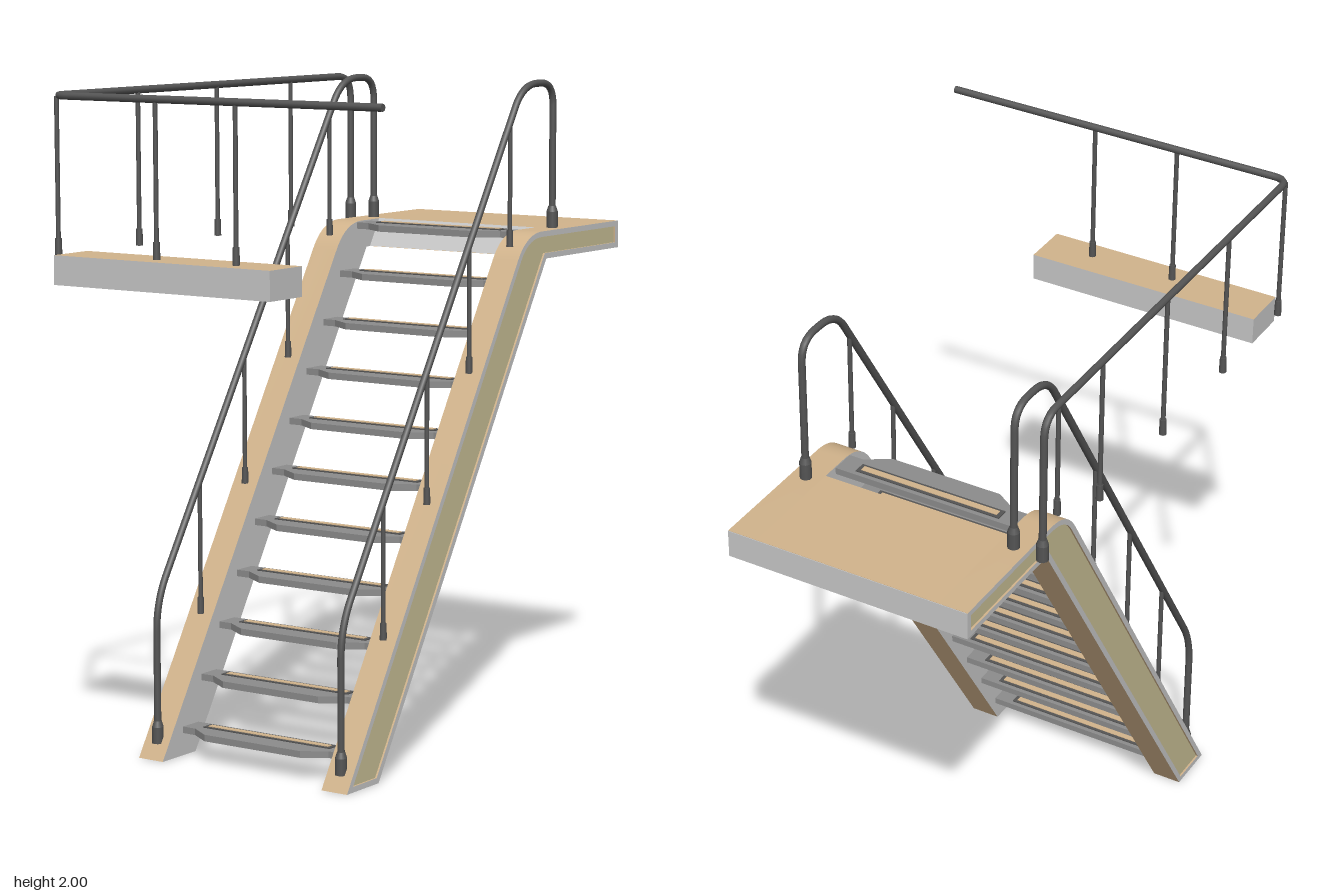
import * as THREE from 'three';
import { toCreasedNormals } from 'three/addons/utils/BufferGeometryUtils.js';

const mat = (name, color, side = THREE.FrontSide) => {
  const m = new THREE.MeshStandardMaterial({ color, side });
  m.name = name;
  return m;
};

const V = (x, y, z) => new THREE.Vector3(x, y, z);

// Polyline with rounded corners; each point is [x, y, z, cornerRadius]
function roundedPath(pts) {
  const path = new THREE.CurvePath();
  let prev = V(...pts[0].slice(0, 3));
  for (let i = 1; i < pts.length; i++) {
    const p = V(...pts[i].slice(0, 3));
    const r = pts[i][3] || 0;
    if (!r) {
      path.add(new THREE.LineCurve3(prev, p));
      prev = p;
      continue;
    }
    const next = V(...pts[i + 1].slice(0, 3));
    const a = p.clone().add(prev.clone().sub(p).setLength(r));
    const b = p.clone().add(next.sub(p).setLength(r));
    path.add(new THREE.LineCurve3(prev, a));
    path.add(new THREE.QuadraticBezierCurve3(a, p, b));
    prev = b;
  }
  return path;
}

// Side outline of a stringer (shape x = world z), inset by d
function stringerShape(d, Kind = THREE.Shape) {
  const k = d * 1.18;
  const front = y => 0.57 - 0.62 * y - k;
  const back = y => 0.41 - 0.625 * y + k;
  const top = 1.54 - d, under = 1.455 + d, end = -0.93 + d;
  const s = new Kind();
  s.moveTo(back(d), d);
  s.lineTo(front(d), d);
  s.lineTo(front(1.46), 1.46);
  s.quadraticCurveTo(front(top), top, -0.475, top);
  s.lineTo(end, top);
  s.lineTo(end, under);
  s.lineTo(back(under), under);
  s.closePath();
  return s;
}

// Extrude a side outline across x, from x0 to x0 + width
function extrudeAcross(shape, x0, width) {
  const g = new THREE.ExtrudeGeometry(shape, { depth: width, bevelEnabled: false, curveSegments: 12 });
  g.rotateY(-Math.PI / 2);
  g.translate(x0 + width, 0, 0);
  return toCreasedNormals(g, 0.5);
}

export function createModel() {
  const model = new THREE.Group();
  model.name = 'staircase';
  const tan = mat('tan deck', 0xd2b48c);
  const grey = mat('light grey', 0xc8c8c8);
  const khaki = mat('khaki panel', 0xc9c096);
  const steel = mat('tread grey', 0x8c8c8c);
  const dark = mat('dark rail', 0x555555);

  const add = (name, geometry, material, parent = model) => {
    const m = new THREE.Mesh(geometry, material);
    m.name = name;
    parent.add(m);
    return m;
  };
  const box = (name, x0, x1, y0, y1, z0, z1, material, parent) => {
    const g = new THREE.BoxGeometry(x1 - x0, y1 - y0, z1 - z0);
    g.translate((x0 + x1) / 2, (y0 + y1) / 2, (z0 + z1) / 2);
    return add(name, g, material, parent);
  };

  // Stringers: core, raised outer frame and khaki panel inside the frame
  const ring = stringerShape(0);
  ring.holes.push(stringerShape(0.017, THREE.Path));
  for (const [side, x0, out] of [['right', -0.515, -1], ['left', 0.155, 1]]) {
    const g = new THREE.Group();
    g.name = side + 'Stringer';
    model.add(g);
    const coreX = out < 0 ? x0 + 0.01 : x0;
    const faceX = out < 0 ? x0 : x0 + 0.08;
    add('stringerCore', extrudeAcross(stringerShape(0), coreX, 0.08), [grey, tan], g);
    add('stringerFrame', extrudeAcross(ring, faceX, 0.01), [grey, tan], g);
    add('stringerPanel', extrudeAcross(stringerShape(0.017), out < 0 ? x0 + 0.006 : x0 + 0.08, 0.004), khaki, g);
  }

  // Landing between the stringers, with a sloped front face
  const deck = new THREE.Shape([[-0.93, 1.455], [-0.52, 1.455], [-0.572, 1.54], [-0.93, 1.54]]
    .map(p => new THREE.Vector2(...p)));
  add('landing', extrudeAcross(deck, -0.425, 0.58), [grey, tan]);
  const lip = new THREE.PlaneGeometry(0.58, 0.0996);
  lip.rotateX(-Math.atan2(0.052, 0.085));
  lip.translate(-0.135, 1.4985, -0.5445);
  add('landingFront', lip, grey);
  box('landingBack', -0.515, 0.245, 1.455, 1.539, -0.932, -0.93, grey);

  // Separate front platform: tan top, grey sides
  box('frontPlatform', -0.515, 0.245, 1.455, 1.54, 0.78, 0.93, [grey, grey, tan, grey, grey, grey]);

  // Treads with clipped front corners and an inlaid grip strip
  const plan = new THREE.Shape([[-0.43, -0.075], [-0.38, -0.075], [-0.31, -0.12], [0.04, -0.12],
    [0.11, -0.075], [0.16, -0.075], [0.16, 0], [-0.43, 0]].map(p => new THREE.Vector2(...p)));
  const treadGeo = new THREE.ExtrudeGeometry(plan, { depth: 0.02, bevelEnabled: false });
  treadGeo.rotateX(-Math.PI / 2);
  for (let i = 0; i < 11; i++) {
    const t = new THREE.Group();
    t.name = 'tread' + (i + 1);
    t.position.set(0, 0.068 + i * 0.1448, 0.395 - i * 0.0915);
    model.add(t);
    add('treadPlate', treadGeo, steel, t);
    box('gripBorder', -0.367, 0.097, 0.02, 0.023, 0.014, 0.052, dark, t);
    box('gripStrip', -0.355, 0.085, 0.023, 0.025, 0.023, 0.043, tan, t);
  }

  // Railings: tubes, thin posts and sockets
  const tube = (name, pts, parent) =>
    add(name, new THREE.TubeGeometry(roundedPath(pts), 200, 0.011, 10), dark, parent);
  const rod = (name, x, y0, y1, z, r0, r1, parent) => {
    const g = new THREE.CylinderGeometry(r1, r0, y1 - y0, 10);
    g.translate(x, (y0 + y1) / 2, z);
    add(name, g, dark, parent);
  };
  const post = (x, y0, y1, z, parent) => {
    rod('post', x, y0, y1, z, 0.007, 0.007, parent);
    rod('postSocket', x, y0, y0 + 0.05, z, 0.011, 0.01, parent);
  };
  const socket = (x, y, z, parent) => {
    rod('railSocket', x, y, y + 0.05, z, 0.018, 0.018, parent);
    rod('railSocketNeck', x, y + 0.05, y + 0.068, z, 0.018, 0.012, parent);
  };

  for (const [side, x] of [['right', -0.47], ['left', 0.2]]) {
    const g = new THREE.Group();
    g.name = side + 'StairRail';
    model.add(g);
    tube('stairHandrail', [[x, 0.05, 0.535], [x, 0.475, 0.535, 0.09], [x, 1.988, -0.43, 0.08],
      [x, 1.988, -0.605, 0.07], [x, 1.54, -0.605]], g);
    socket(x, 0.045, 0.535, g);
    socket(x, 1.54, -0.605, g);
    for (const z of [0.32, 0.092, -0.135, -0.36]) {
      const foot = (0.57 - z) / 0.62;
      post(x, foot, 0.475 + (0.535 - z) * 1.568, z, g);
    }
  }

  // Upper guard rail turning the corner toward the front platform
  const guard = new THREE.Group();
  guard.name = 'guardRail';
  model.add(guard);
  tube('guardHandrail', [[-0.56, 1.53, -0.605], [-0.56, 1.988, -0.605, 0.07],
    [-0.56, 1.988, 0.868, 0.045], [0.575, 1.988, 0.868]], guard);
  const cap = new THREE.CircleGeometry(0.011, 10);
  cap.rotateY(Math.PI / 2);
  cap.translate(0.575, 1.988, 0.868);
  add('guardRailEnd', cap, dark, guard);
  socket(-0.56, 1.53, -0.605, guard);
  for (const z of [0.857, 0.487, 0.105, -0.275]) post(-0.558, 1.53, 1.985, z, guard);
  for (const x of [-0.193, 0.085]) post(x, 1.54, 1.985, 0.868, guard);

  return model;
}
